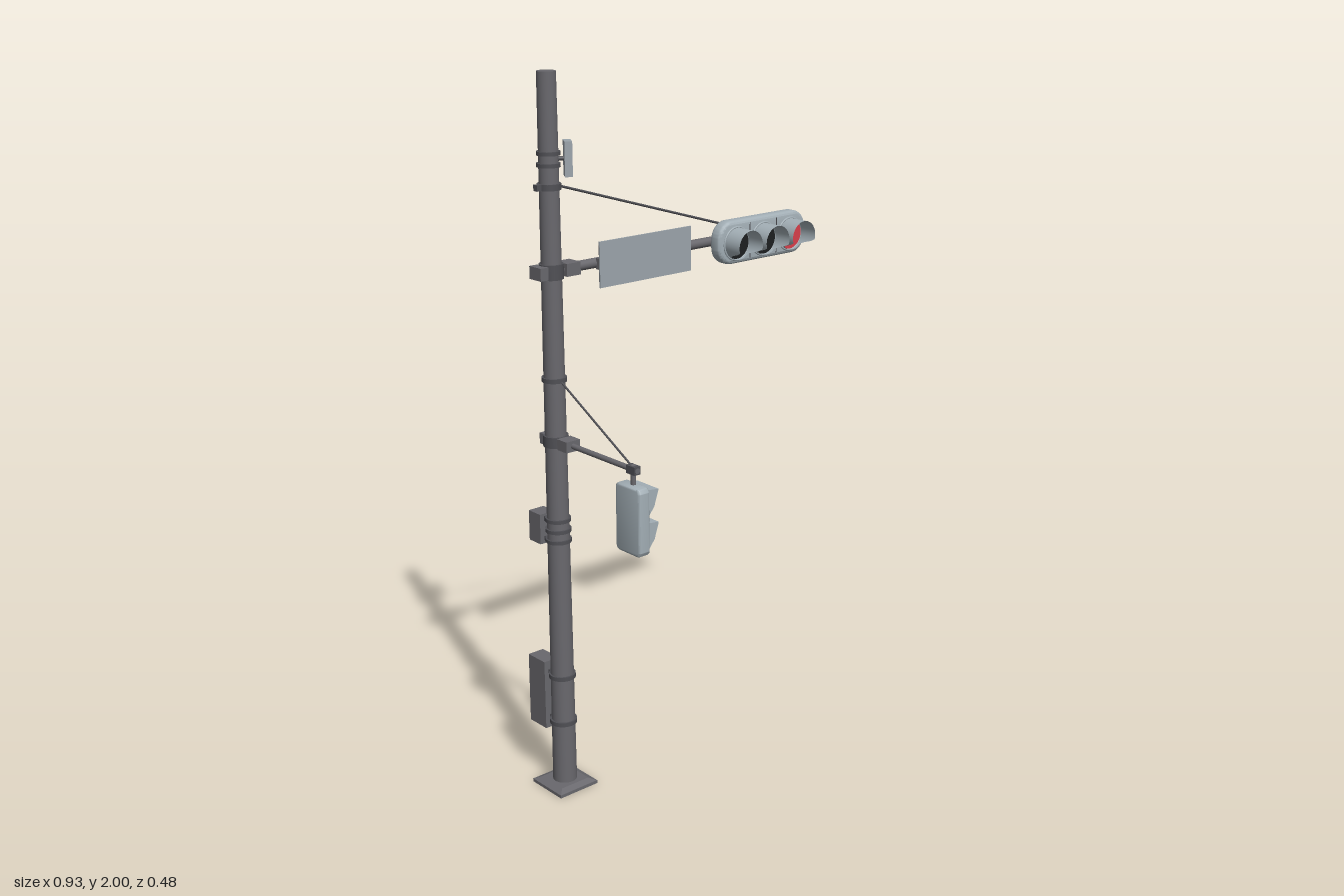
import * as THREE from 'three';
import { toCreasedNormals } from 'three/addons/utils/BufferGeometryUtils.js';

const mat = (name, color, side = THREE.FrontSide) => {
  const m = new THREE.MeshStandardMaterial({ color, side });
  m.name = name;
  return m;
};

export function createModel() {
  const steel = mat('steel grey', 0x69686d);
  const dark = mat('dark steel', 0x505055);
  const housing = mat('housing grey', 0xa3afb6);
  const hoodGrey = mat('hood grey', 0xa3afb6, THREE.DoubleSide);
  const panel = mat('sign grey', 0x9ca5ac);
  const black = mat('lens black', 0x1d1f20);
  const red = mat('lens red', 0xd83f4a);

  const PX = -0.4, PZ = -0.125, ARM = 1.49, PED = 1.03;
  const model = new THREE.Group();
  model.name = 'signalPole';

  const add = (name, geo, material, x = 0, y = 0, z = 0, parent = model) => {
    const mesh = new THREE.Mesh(geo, material);
    mesh.name = name;
    mesh.position.set(x, y, z);
    parent.add(mesh);
    return mesh;
  };
  const box = (name, w, h, d, material, x, y, z, parent) =>
    add(name, new THREE.BoxGeometry(w, h, d), material, x, y, z, parent);
  // Round bar between two points
  const rod = (name, a, b, r, material, sides = 16) => {
    const p = new THREE.Vector3(...a), q = new THREE.Vector3(...b);
    const mesh = add(name, new THREE.CylinderGeometry(r, r, p.distanceTo(q), sides), material);
    mesh.position.copy(p).lerp(q, 0.5);
    mesh.quaternion.setFromUnitVectors(new THREE.Vector3(0, 1, 0), q.sub(p).normalize());
    return mesh;
  };
  // Rounded slab with bevelled rims, centred in x and y, spanning z = 0..d
  const slab = (w, h, r, d, bevel) => {
    const x = w / 2 - bevel, y = h / 2 - bevel, k = r - bevel;
    const s = new THREE.Shape();
    s.absarc(x - k, y - k, k, 0, Math.PI / 2);
    s.absarc(-x + k, y - k, k, Math.PI / 2, Math.PI);
    s.absarc(-x + k, -y + k, k, Math.PI, Math.PI * 1.5);
    s.absarc(x - k, -y + k, k, Math.PI * 1.5, Math.PI * 2);
    const g = new THREE.ExtrudeGeometry(s, {
      depth: d - 2 * bevel, bevelSize: bevel, bevelThickness: bevel, bevelSegments: 3, curveSegments: 8,
    });
    g.translate(0, 0, bevel);
    return toCreasedNormals(g, 0.7);
  };

  // Pole and base plate
  const poleRadius = (y) => 0.034 - 0.0045 * y;
  add('pole', new THREE.CylinderGeometry(poleRadius(2), poleRadius(0), 2, 32), steel, PX, 1, PZ);
  box('basePlate', 0.13, 0.009, 0.13, steel, PX, 0.0045, PZ);
  const foot = new THREE.CylinderGeometry(0.066, 0.09, 0.008, 4, 1).toNonIndexed();
  foot.rotateY(Math.PI / 4);
  foot.computeVertexNormals();
  add('baseBevel', foot, steel, PX, 0.013, PZ);

  // Clamp bands
  for (const [y, h] of [[0.2, 0.012], [0.34, 0.012], [0.745, 0.01], [0.775, 0.01], [0.805, 0.01],
    [PED, 0.03], [1.2, 0.012], [ARM, 0.04], [1.71, 0.016], [1.765, 0.01], [1.795, 0.01]]) {
    const r = poleRadius(y) + 0.005;
    add('clampBand', new THREE.CylinderGeometry(r, r, h, 32), dark, PX, y, PZ);
  }
  box('cableLug', 0.02, 0.016, 0.016, dark, PX - 0.034, 1.71, PZ);

  // Control boxes behind the pole, with their brackets
  for (const [name, y, h, d] of [['cabinet', 0.268, 0.205, 0.073], ['junctionBox', 0.768, 0.086, 0.05]]) {
    box(name, 0.05, h, d, steel, PX - 0.005, y, -0.167 - d / 2);
    for (const s of [-1, 1])
      box(name + 'Bracket', 0.022, 0.014, 0.02, dark, PX - 0.005, y + s * h * 0.34, -0.16);
  }

  // Angled sensor box near the top
  const sensor = box('sensorBox', 0.02, 0.09, 0.044, panel, -0.357, 1.78, -0.1);
  sensor.rotation.y = -0.56;
  rod('sensorBracket', [PX, 1.78, PZ], [-0.362, 1.78, -0.104], 0.006, dark);

  // Main arm with flange and stay cable
  rod('mainArm', [PX, ARM, PZ], [0.463, ARM, PZ], 0.0135, steel, 20);
  box('armFlange', 0.045, 0.034, 0.048, steel, -0.345, ARM, PZ);
  box('armClampBack', 0.025, 0.034, 0.048, steel, PX - 0.04, ARM, PZ);
  rod('stayCable', [PX + 0.015, 1.713, PZ], [0.3, 1.503, PZ], 0.0033, dark, 8);

  // Sign panel on four brackets
  box('signPanel', 0.318, 0.124, 0.004, panel, -0.111, 1.492, -0.088);
  box('signBack', 0.316, 0.122, 0.002, steel, -0.111, 1.492, -0.091);
  for (let i = 0; i < 4; i++)
    box('signBracket', 0.018, 0.03, 0.025, steel, -0.251 + i * 0.08, ARM, -0.103);

  // Hood whose length varies around the rim, longest on top
  const hoodGeometry = (r, length) => {
    const g = new THREE.CylinderGeometry(r, r, 1, 40, 1, true);
    g.rotateX(Math.PI / 2);
    const p = g.attributes.position;
    for (let i = 0; i < p.count; i++) {
      const t = THREE.MathUtils.smoothstep(p.getY(i) / r, -0.75, -0.3);
      p.setZ(i, p.getZ(i) > 0 ? 0.014 + (length - 0.014) * t : 0);
    }
    g.computeVertexNormals();
    return g;
  };

  // Vehicle signal head
  const head = new THREE.Group();
  head.name = 'vehicleSignal';
  head.position.set(0.2975, 1.492, -0.1);
  model.add(head);
  add('signalBody', slab(0.335, 0.122, 0.05, 0.04, 0.01), housing, 0, 0, 0, head);
  [-0.103, 0, 0.103].forEach((x, i) => {
    add('lensRim', new THREE.TorusGeometry(0.046, 0.003, 8, 40), housing, x, -0.003, 0.041, head);
    add('signalLens', new THREE.CircleGeometry(0.043, 40), i === 2 ? red : black, x, -0.003, 0.043, head);
    add('signalHood', hoodGeometry(0.0445, 0.062), hoodGrey, x, -0.003, 0.038, head);
  });
  for (const x of [-0.0515, 0.0515])
    box('bodySeam', 0.003, 0.1, 0.002, dark, x, 0, 0.0395, head);
  for (const x of [-0.12, 0.12])
    box('signalBracket', 0.02, 0.03, 0.02, steel, x, 0, -0.008, head);

  // Pedestrian arm, stay and hanger
  rod('pedestrianArm', [PX, PED, PZ], [PX, PED, 0.215], 0.0075, steel);
  box('pedestrianFlange', 0.045, 0.03, 0.04, steel, PX, PED, -0.07);
  box('pedestrianClampBack', 0.045, 0.03, 0.02, steel, PX, PED, -0.157);
  rod('pedestrianStay', [PX, 1.2, -0.1], [PX, PED + 0.006, 0.195], 0.0028, dark, 8);
  rod('hanger', [PX, 0.98, 0.197], [PX, 1.042, 0.197], 0.007, steel);
  box('hangerClamp', 0.02, 0.022, 0.034, dark, PX, PED, 0.197);

  // Pedestrian signal head, built facing +z then turned to +x
  const ped = new THREE.Group();
  ped.name = 'pedestrianSignal';
  ped.position.set(-0.42, 0.897, 0.195);
  ped.rotation.y = Math.PI / 2;
  model.add(ped);
  add('pedestrianBody', slab(0.097, 0.186, 0.014, 0.036, 0.006), housing, 0, 0, 0, ped);
  for (const y of [0.044, -0.046]) {
    box('pedestrianLens', 0.068, 0.07, 0.004, black, 0, y, 0.036, ped);
    // Wedge-shaped hood: sloping cheeks under a flat top
    const cheek = new THREE.Shape([[0, 0.038], [0.036, 0.034], [0.022, -0.008], [0, -0.036]]
      .map(([a, b]) => new THREE.Vector2(a, b)));
    for (const s of [-1, 1]) {
      const g = new THREE.ExtrudeGeometry(cheek, { depth: 0.003, bevelEnabled: false });
      g.rotateY(-Math.PI / 2);
      add('hoodCheek', g, housing, s * 0.04 + 0.0015, y, 0.034, ped);
    }
    const top = box('hoodTop', 0.083, 0.003, 0.036, housing, 0, y + 0.0365, 0.052, ped);
    top.rotation.x = 0.11;
  }
  return model;
}
